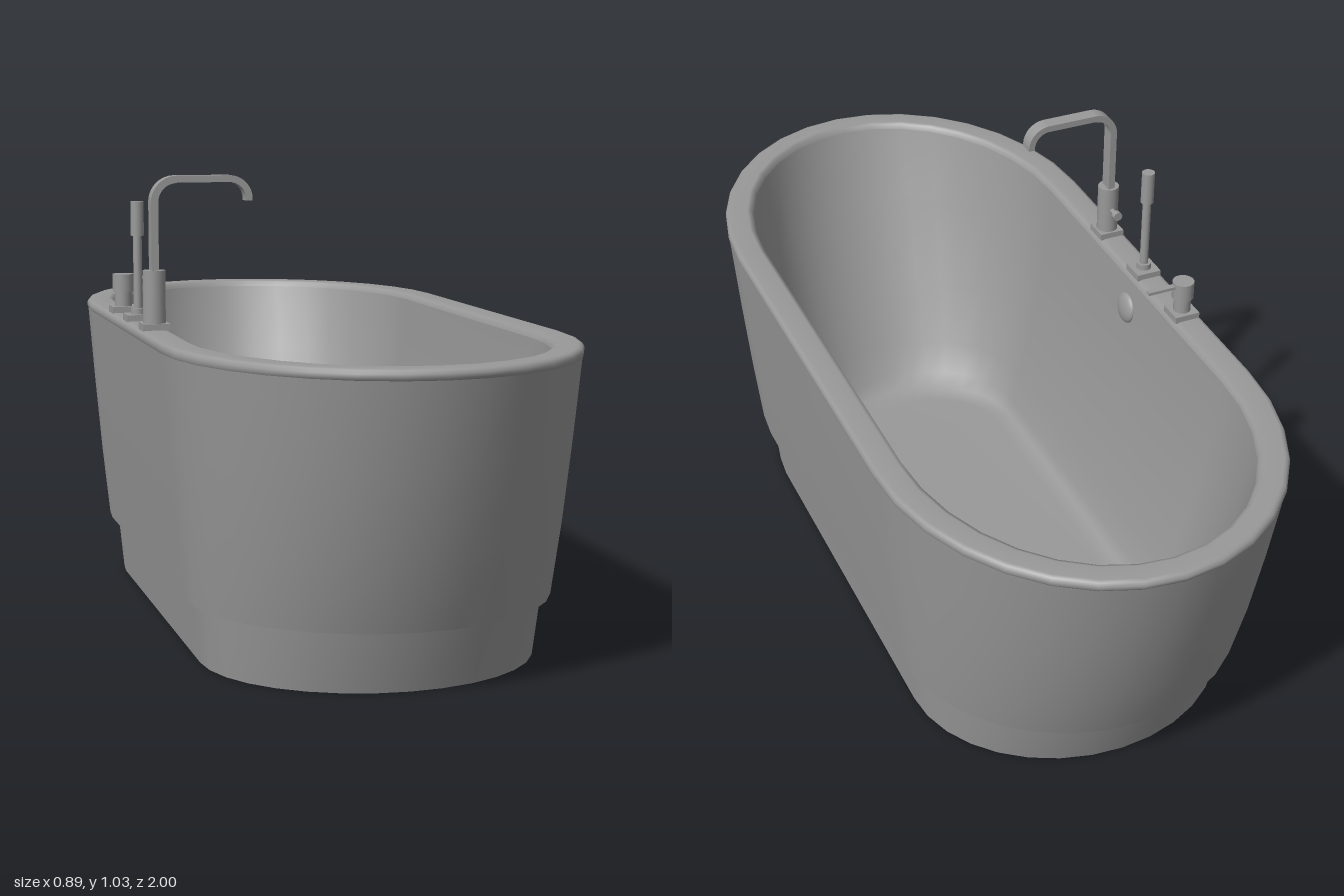
import * as THREE from 'three';

const material = new THREE.MeshStandardMaterial({ color: 0x999999 });
const shellMaterial = new THREE.MeshStandardMaterial({ color: 0x999999, side: THREE.DoubleSide });

// Skin over stacked oval rings, each [y, half width, half length, half length of straight side]
function ovalShell(name, rings, steps = 16) {
  const positions = [], index = [], n = 2 * (steps + 1);
  for (const [y, hx, hz, straight] of rings) {
    for (const side of [1, -1]) {
      for (let i = 0; i <= steps; i++) {
        const a = (i / steps) * Math.PI;
        positions.push(side * hx * Math.cos(a), y, side * (straight + (hz - straight) * Math.sin(a)));
      }
    }
  }
  for (let r = 0; r < rings.length - 1; r++) {
    for (let j = 0; j < n; j++) {
      const a = r * n + j, b = r * n + (j + 1) % n;
      index.push(a, a + n, b, b, a + n, b + n);
    }
  }
  const geometry = new THREE.BufferGeometry();
  geometry.setAttribute('position', new THREE.Float32BufferAttribute(positions, 3));
  geometry.setIndex(index);
  geometry.computeVertexNormals();
  const mesh = new THREE.Mesh(geometry, shellMaterial);
  mesh.name = name;
  return mesh;
}

function part(parent, name, geometry, x, y, z) {
  const mesh = new THREE.Mesh(geometry, material);
  mesh.name = name;
  mesh.position.set(x, y, z);
  parent.add(mesh);
  return mesh;
}

// Upright cylinder between two heights
const post = (parent, name, r, y0, y1) =>
  part(parent, name, new THREE.CylinderGeometry(r, r, y1 - y0, 24), 0, (y0 + y1) / 2, 0);

// Shallow dome with its flat side down
const dome = (r, height) =>
  new THREE.SphereGeometry(r, 28, 8, 0, Math.PI * 2, 0, Math.PI / 2).scale(1, height / r, 1);

// Fitting standing on the rim, on a square plate
function fitting(parent, name, z) {
  const group = new THREE.Group();
  group.name = name;
  group.position.set(-0.41, 0.688, z);
  part(group, 'mountingPlate', new THREE.BoxGeometry(0.06, 0.016, 0.06), 0, 0.008, 0);
  parent.add(group);
  return group;
}

// Flat bar bent over at the top and down again at its end
function spoutBar() {
  const shape = new THREE.Shape();
  shape.moveTo(-0.008, 0.13);
  shape.lineTo(-0.008, 0.28);
  shape.absarc(0.05, 0.28, 0.058, Math.PI, Math.PI / 2, true);
  shape.lineTo(0.167, 0.338);
  shape.absarc(0.167, 0.286, 0.052, Math.PI / 2, 0, true);
  shape.lineTo(0.219, 0.282);
  shape.lineTo(0.204, 0.282);
  shape.absarc(0.167, 0.286, 0.037, 0, Math.PI / 2, false);
  shape.lineTo(0.05, 0.323);
  shape.absarc(0.05, 0.28, 0.042, Math.PI / 2, Math.PI, false);
  shape.lineTo(0.008, 0.13);
  const geometry = new THREE.ExtrudeGeometry(shape, { depth: 0.034, bevelEnabled: false, curveSegments: 12 });
  return geometry.translate(0, 0, -0.017);
}

export function createModel() {
  const model = new THREE.Group();
  model.name = 'bathtub';

  // Hollow plinth, ledge and outer hull
  model.add(
    ovalShell('plinth', [[0, 0.367, 0.775, 0.45], [0.14, 0.38, 0.82, 0.45]]),
    ovalShell('ledge', [[0.14, 0.38, 0.82, 0.45], [0.14, 0.4, 0.843, 0.45]]),
    ovalShell('hull', [
      [0.14, 0.4, 0.843, 0.45], [0.3, 0.416, 0.9, 0.45],
      [0.48, 0.431, 0.95, 0.45], [0.667, 0.445, 0.995, 0.45],
    ]),
    // Rounded rim
    ovalShell('rim', [
      [0.667, 0.445, 0.995, 0.45], [0.672, 0.447, 0.999, 0.45], [0.68, 0.447, 1, 0.45],
      [0.687, 0.443, 0.995, 0.45], [0.69, 0.435, 0.988, 0.45], [0.69, 0.392, 0.95, 0.45],
      [0.687, 0.382, 0.942, 0.45], [0.675, 0.377, 0.937, 0.45],
    ]),
    // Inner basin with sloping walls, closed by a flat floor
    ovalShell('basin', [
      [0.675, 0.377, 0.937, 0.45], [0.5, 0.359, 0.868, 0.44], [0.3, 0.322, 0.77, 0.43],
      [0.15, 0.284, 0.69, 0.42], [0.075, 0.26, 0.642, 0.41], [0.047, 0.243, 0.61, 0.4],
      [0.04, 0.205, 0.56, 0.39], [0.04, 0, 0.39, 0.39],
    ]),
  );

  // Domed drain in the floor and overflow cover on the wall
  part(model, 'drain', dome(0.034, 0.012), 0, 0.04, -0.41);
  const overflow = part(model, 'overflowCover', dome(0.037, 0.014), -0.369, 0.6, 0);
  overflow.rotation.z = -Math.PI / 2 + 0.1;

  // Spout: body, side knob and bent flat bar
  const spout = fitting(model, 'spout', 0.197);
  post(spout, 'spoutBody', 0.025, 0.016, 0.132);
  const knob = part(spout, 'knobStem', new THREE.CylinderGeometry(0.006, 0.006, 0.035, 16), 0, 0.075, -0.035);
  knob.rotation.x = Math.PI / 2;
  const cap = part(spout, 'knob', new THREE.CylinderGeometry(0.011, 0.011, 0.014, 16), 0, 0.075, -0.05);
  cap.rotation.x = Math.PI / 2;
  part(spout, 'spoutBar', spoutBar(), 0, 0, 0);

  // Hand shower: slim stem with a thicker head
  const shower = fitting(model, 'handShower', 0);
  post(shower, 'showerSocket', 0.017, 0.016, 0.03);
  post(shower, 'showerStem', 0.01, 0.03, 0.2);
  post(shower, 'showerHead', 0.015, 0.195, 0.273);

  // Mixer: body, turning cap and thin lever
  const mixer = fitting(model, 'mixer', -0.193);
  post(mixer, 'mixerBody', 0.02, 0.016, 0.05);
  post(mixer, 'mixerCap', 0.025, 0.05, 0.092);
  part(mixer, 'mixerLever', new THREE.BoxGeometry(0.075, 0.007, 0.014), 0.053, 0.082, 0);

  return model;
}
